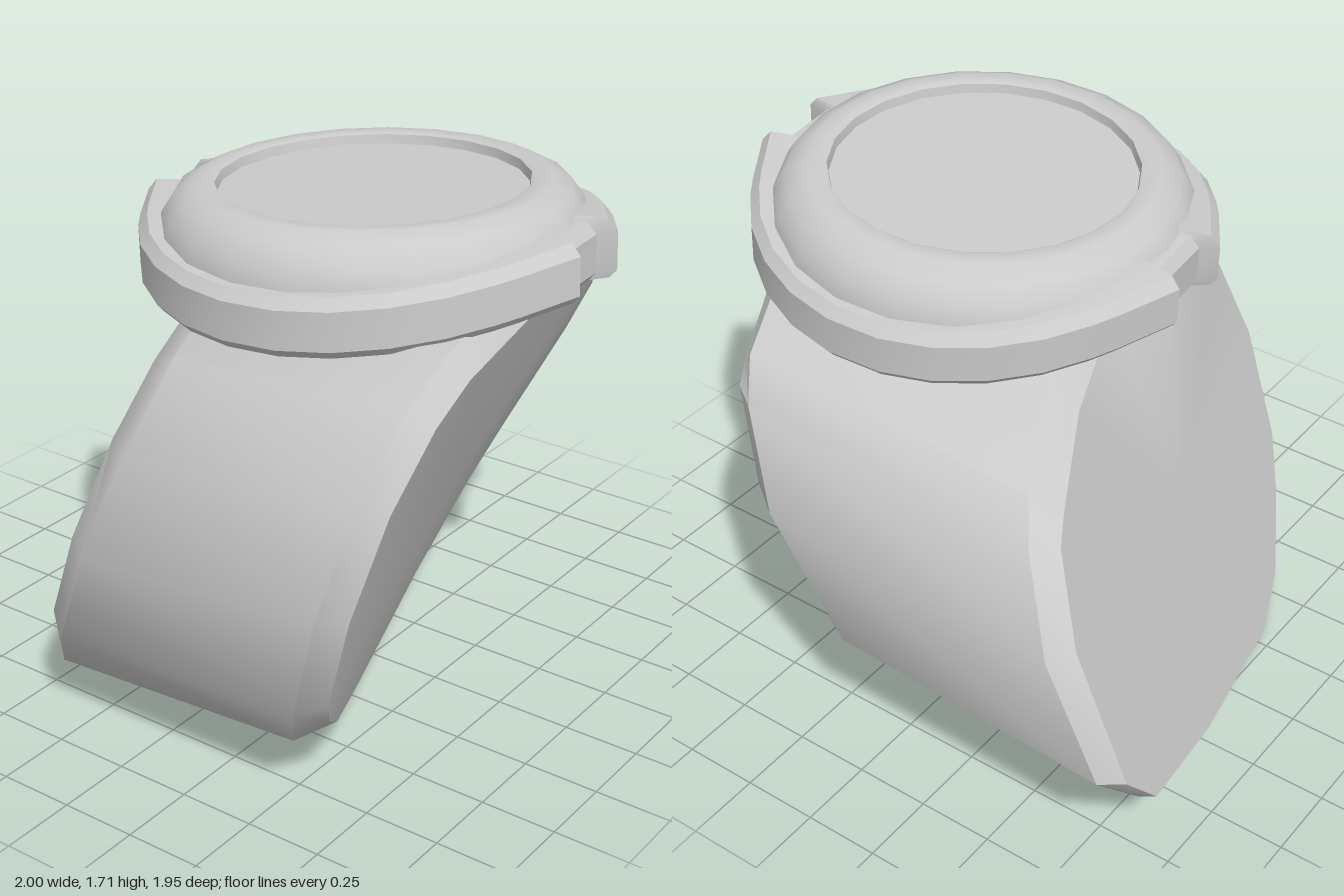
import * as THREE from 'three';
import { toCreasedNormals } from 'three/addons/utils/BufferGeometryUtils.js';

const material = new THREE.MeshStandardMaterial({ color: 0xcccccc });

// Skin a stack of equal-length rings and close both ends with fans.
function loft(rings, crease) {
  const pos = [];
  const tri = (...pts) => pts.forEach((p) => pos.push(p[0], p[1], p[2]));
  const n = rings[0].length;
  const centre = (ring) => [0, 1, 2].map((k) => ring.reduce((s, p) => s + p[k], 0) / n);
  const last = rings[rings.length - 1];
  const c0 = centre(rings[0]);
  const c1 = centre(last);
  for (let i = 0; i < n; i++) {
    const j = (i + 1) % n;
    for (let k = 0; k + 1 < rings.length; k++) {
      const a = rings[k], b = rings[k + 1];
      tri(a[i], a[j], b[j]);
      tri(a[i], b[j], b[i]);
    }
    tri(c0, rings[0][j], rings[0][i]);
    tri(c1, last[i], last[j]);
  }
  const geo = new THREE.BufferGeometry();
  geo.setAttribute('position', new THREE.Float32BufferAttribute(pos, 3));
  geo.computeVertexNormals();
  return toCreasedNormals(geo, crease);
}

function addMesh(parent, name, geometry) {
  const mesh = new THREE.Mesh(geometry, material);
  mesh.name = name;
  parent.add(mesh);
  return mesh;
}

// Wrist stump: a slanted, bevelled block with a rounded outline.
function wristGeometry() {
  const outer = [
    [-1, 0.76], [-0.91, 1.1], [-0.71, 1.34], [-0.5, 1.43], [0.04, 1.47], [0.45, 1.41],
    [0.78, 1.27], [0.88, 1.17], [1, 0.91], [0.96, 0.49], [0.76, 0.28], [0.31, 0.14],
    [-0.35, 0.055], [-0.6, 0.075], [-0.8, 0.19], [-0.93, 0.38],
  ].reverse();
  const inner = [
    [-0.93, 0.76], [-0.84, 1.08], [-0.66, 1.28], [-0.48, 1.36], [0.04, 1.4], [0.45, 1.34],
    [0.73, 1.21], [0.81, 1.16], [0.92, 0.92], [0.9, 0.48], [0.76, 0.32], [0.3, 0.18],
    [-0.3, 0.065], [-0.54, 0.11], [-0.75, 0.27], [-0.87, 0.42],
  ].reverse();
  const front = (x, y) => 0.254 - 0.367 * x + (0.41 + 0.14 * x) * y;
  const back = (x, y) => -0.81 - 0.33 * x + 0.4 * y;
  const drop = 0.055; // the block sinks slightly towards the back
  const ring = (outline, plane, dz, dy) =>
    outline.map(([x, y]) => [x, y - dy, plane(x, y - dy) + dz]);
  return loft([
    ring(inner, back, 0, drop),
    ring(outer, back, 0.08, drop),
    ring(outer, front, -0.09, 0),
    ring(inner, front, 0, 0),
  ], 0.6);
}

// Watch case: a round band with paired horns at both ends, curving up there.
function caseGeometry() {
  const quarter = [7, 20, 33, 46, 58].map((d) => {
    const a = THREE.MathUtils.degToRad(d);
    return [0.725 * Math.cos(a), 0.725 * Math.sin(a)];
  });
  quarter.push([0.31, 0.66], [0.13, 0.755], [0.11, 0.695]);
  const reversed = [...quarter].reverse();
  const outline = [
    ...quarter.map(([x, z]) => [x, -z]),
    ...reversed.map(([x, z]) => [-x, -z]),
    ...quarter.map(([x, z]) => [-x, z]),
    ...reversed.map(([x, z]) => [x, z]),
  ];
  // [scale, height] of each ring, from the underside up
  const section = [[0.9, -0.325], [0.97, -0.335], [1, -0.31], [1, -0.19], [0.96, -0.155], [0.88, -0.15]];
  return loft(section.map(([s, h]) =>
    outline.map(([x, z]) => [x * s, h + 0.075 * (z / 0.72) ** 2, z * s])), 0.6);
}

// Domed bezel with a shallow recess that holds the dial.
function bezelGeometry() {
  const profile = [
    [0.67, -0.25], [0.67, -0.14], [0.65, -0.09], [0.61, -0.03], [0.55, 0],
    [0.5, 0], [0.485, -0.005], [0.48, -0.035], [0, -0.035],
  ].map(([r, y]) => new THREE.Vector2(r, y));
  return toCreasedNormals(new THREE.LatheGeometry(profile, 22).toNonIndexed(), 0.6);
}

export function createModel() {
  const model = new THREE.Group();
  model.name = 'wristWatch';
  addMesh(model, 'wrist', wristGeometry());

  const watch = new THREE.Group();
  watch.name = 'watch';
  addMesh(watch, 'watchCase', caseGeometry());
  addMesh(watch, 'bezelAndDial', bezelGeometry());
  watch.position.set(0.012, 1.685, 0.22);
  watch.rotation.set(-0.045, 0.085, -0.015);
  model.add(watch);
  return model;
}
